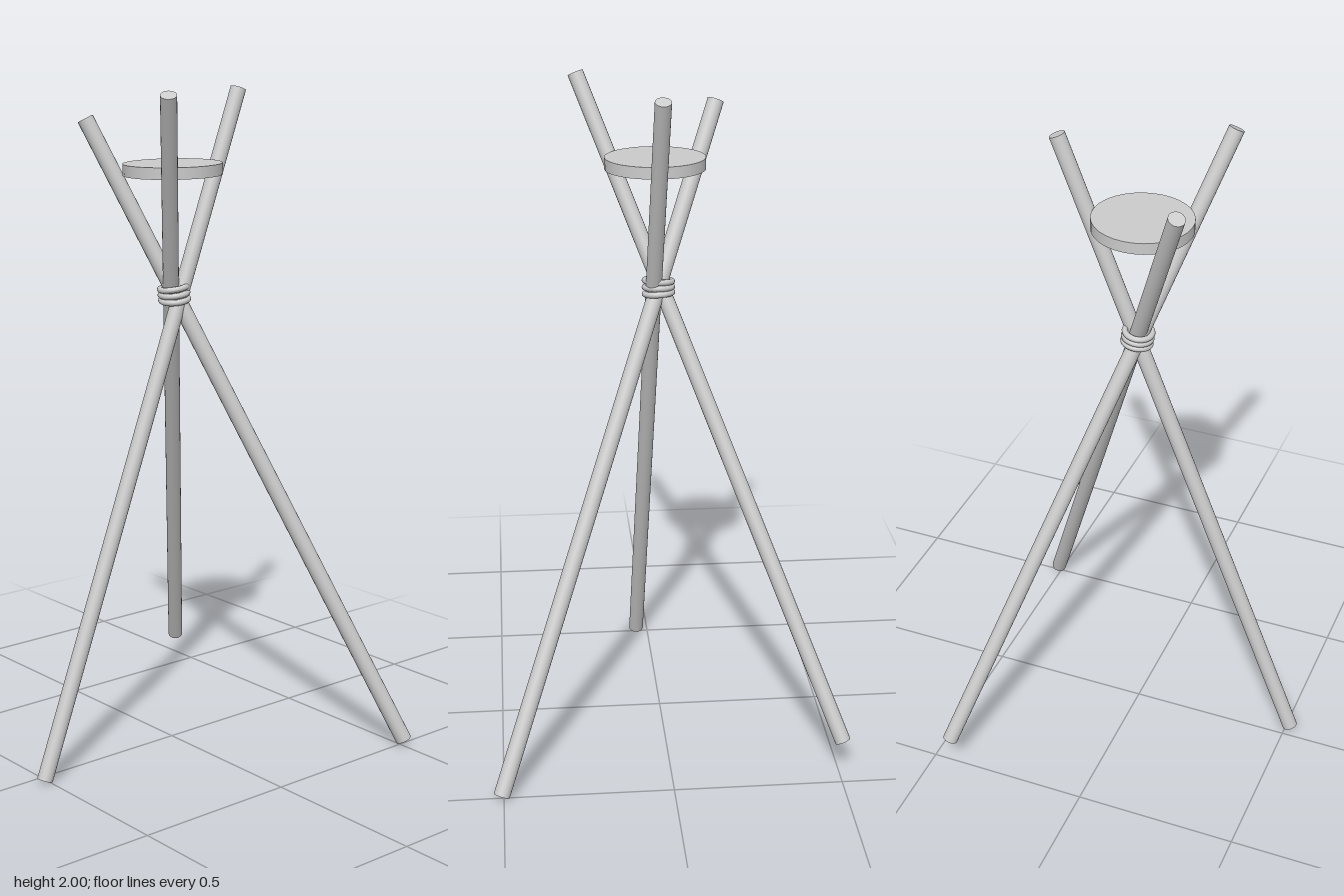
import * as THREE from 'three';

const material = new THREE.MeshStandardMaterial({ color: 0xcccccc });

function add(group, name, geometry, position) {
  const mesh = new THREE.Mesh(geometry, material);
  mesh.name = name;
  mesh.position.set(...position);
  group.add(mesh);
  return mesh;
}

// Round pole running between the centres of its two ends
function addPole(group, name, bottom, top, radius) {
  const a = new THREE.Vector3(...bottom);
  const b = new THREE.Vector3(...top);
  const dir = b.clone().sub(a);
  const centre = a.clone().add(b).multiplyScalar(0.5);
  const pole = add(group, name, new THREE.CylinderGeometry(radius, radius, dir.length(), 20), centre.toArray());
  pole.quaternion.setFromUnitVectors(new THREE.Vector3(0, 1, 0), dir.normalize());
}

export function createModel() {
  const model = new THREE.Group();
  model.name = 'lashedTripod';

  // Three poles crossing at the lashing
  addPole(model, 'backLeftPole', [0.506, 0.02, -0.51], [-0.18, 1.908, 0.178], 0.0245);
  addPole(model, 'backRightPole', [-0.51, 0.105, -0.437], [0.228, 1.99, 0.2], 0.0235);
  addPole(model, 'frontPole', [0.037, 0.013, 0.513], [0.011, 1.99, -0.246], 0.0235);

  // Round plate held between the upper pole ends
  const plate = add(model, 'plate', new THREE.CylinderGeometry(0.146, 0.146, 0.034, 32), [0.012, 1.766, 0.007]);
  plate.rotation.x = 0.02;

  // Rope lashing: three stacked turns, each tilted a little differently
  const lashing = new THREE.Group();
  lashing.name = 'lashing';
  lashing.position.set(0.004, 1.399, -0.005);
  lashing.rotation.x = 0.14;
  for (let i = -1; i <= 1; i++) {
    const turn = new THREE.TorusGeometry(0.04, 0.009, 10, 32).rotateX(Math.PI / 2);
    const ring = add(lashing, 'ropeTurn', turn, [0, i * 0.018, 0]);
    ring.rotation.z = i * 0.05;
  }
  model.add(lashing);

  return model;
}
